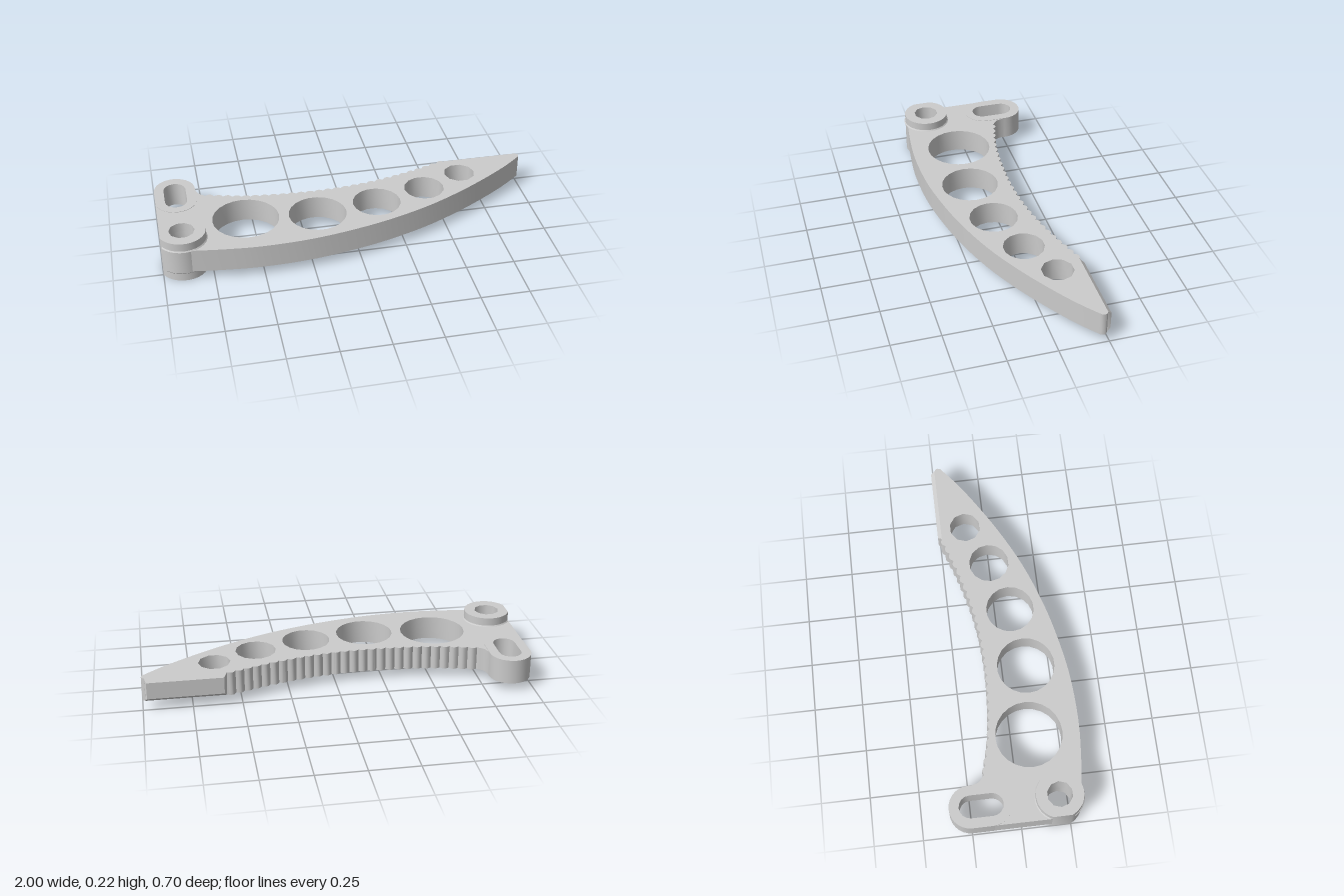
import * as THREE from 'three';
import { toCreasedNormals } from 'three/addons/utils/BufferGeometryUtils.js';

const BOTTOM = 0.047, TOP = 0.172;
const BOSS = [-0.89, -0.2], BORE = 0.065;
const SLOT_X = -0.8925;
const material = new THREE.MeshStandardMaterial({ color: 0xcccccc });

const v = (x, y) => new THREE.Vector2(x, y);
const spline = (pairs, n) => new THREE.SplineCurve(pairs.map(p => v(...p))).getPoints(n);

// Points on an arc, angles in degrees
function arc(cx, cy, r, from, to, n) {
  return Array.from({ length: n + 1 }, (_, i) => {
    const a = THREE.MathUtils.degToRad(from + (to - from) * i / n);
    return v(cx + r * Math.cos(a), cy + r * Math.sin(a));
  });
}
const circle = (cx, cy, r, sides) => new THREE.Path(arc(cx, cy, r, 0, 360, sides).slice(0, -1));
const capsule = (cx, y0, y1, r, n) => [...arc(cx, y1, r, 0, 180, n), ...arc(cx, y0, r, 180, 360, n)];

function mesh(name, geometry) {
  const m = new THREE.Mesh(toCreasedNormals(geometry, 0.65), material);
  m.name = name;
  return m;
}

// Flat shape (x, -z) raised from y0 to y1
function slab(name, outline, holes, y0, y1) {
  const shape = new THREE.Shape(outline);
  shape.holes = holes;
  const geometry = new THREE.ExtrudeGeometry(shape, { depth: y1 - y0, bevelEnabled: false });
  geometry.rotateX(-Math.PI / 2).translate(0, y0, 0);
  return mesh(name, geometry);
}

// Row of small scallops along the concave edge
function scallops() {
  const curve = new THREE.SplineCurve([
    v(-0.74, 0.16), v(-0.5, 0.105), v(-0.18, 0.084), v(0.1, 0.105), v(0.35, 0.163), v(0.575, 0.24)]);
  const teeth = 28, steps = 5, points = [];
  for (let i = 0; i <= teeth * steps; i++) {
    const t = i / (teeth * steps);
    const p = curve.getPointAt(t), d = curve.getTangentAt(t);
    const h = 0.014 * Math.abs(Math.sin(Math.PI * i / steps));
    points.push(v(p.x - d.y * h, p.y + d.x * h));
  }
  return points;
}

export function createModel() {
  const group = new THREE.Group();
  group.name = 'curvedLever';

  const slotHole = () => new THREE.Path(capsule(SLOT_X, 0.1375, 0.2475, 0.0575, 8));

  // Plate outline: left side, slot end, scalloped edge, tip, convex edge, boss corner
  const outline = [
    ...arc(SLOT_X, 0.2475, 0.1065, 180, 0, 14),
    ...spline([[-0.784, 0.225], [-0.772, 0.19], [-0.745, 0.167]], 5),
    ...scallops(),
    v(0.59, 0.24), v(0.985, 0.24), v(0.998, 0.23), v(1, 0.222), v(0.996, 0.207),
    ...spline([[0.985, 0.198], [0.9, 0.13], [0.78, 0.048], [0.6, -0.06], [0.4, -0.16], [0.2, -0.235],
      [0, -0.29], [-0.25, -0.335], [-0.5, -0.348], [-0.7, -0.335], [-0.88, -0.312]], 36),
    ...arc(-0.89, -0.2, 0.11, 255, 180, 8)
  ];
  const lightening = [
    [-0.557, -0.088, 0.171, 24], [-0.19, -0.118, 0.149, 22], [0.13, -0.075, 0.125, 18],
    [0.405, 0.005, 0.105, 14], [0.628, 0.11, 0.082, 10]
  ].map(h => circle(...h));
  group.add(slab('plate', outline, [...lightening, circle(...BOSS, BORE, 10), slotHole()], BOTTOM, TOP));

  // Thin raised rim around the slot on both faces
  group.add(slab('slotRim', capsule(SLOT_X, 0.1425, 0.2475, 0.1075, 14), [slotHole()], BOTTOM - 0.002, TOP + 0.002));

  // Full-height pivot boss, trimmed flat on the outer side
  const cut = THREE.MathUtils.radToDeg(Math.acos(-0.11 / 0.12));
  group.add(slab('pivotBoss', arc(...BOSS, 0.12, -cut, cut, 26), [circle(...BOSS, BORE, 10)], 0, 0.22));

  // Low fillet collars where the boss meets the plate
  for (const [y, r0, r1] of [[TOP + 0.003, 0.121, 0.126], [BOTTOM - 0.003, 0.126, 0.121]]) {
    const start = Math.PI / 2 - 2.6;
    const collar = new THREE.CylinderGeometry(r0, r1, 0.006, 24, 1, true, start, 5.2);
    collar.translate(BOSS[0], y, -BOSS[1]);
    group.add(mesh('bossCollar', collar));
  }

  // Straight edge near the tip, chamfered above and below
  const section = new THREE.Shape([
    v(0.235, BOTTOM), v(0.24, BOTTOM), v(0.26, 0.065), v(0.26, 0.154), v(0.24, TOP), v(0.235, TOP)]);
  const strip = new THREE.ExtrudeGeometry(section, { depth: 0.41, bevelEnabled: false });
  const pos = strip.attributes.position;
  // Slant the two ends of the strip toward its outer edge
  for (let i = 0; i < pos.count; i++) {
    if (pos.getX(i) > 0.25) pos.setZ(i, pos.getZ(i) > 0.2 ? 0.402 : 0.015);
  }
  strip.rotateY(Math.PI / 2).translate(0.575, 0, 0);
  strip.computeVertexNormals();
  group.add(mesh('tipEdge', strip));

  return group;
}
